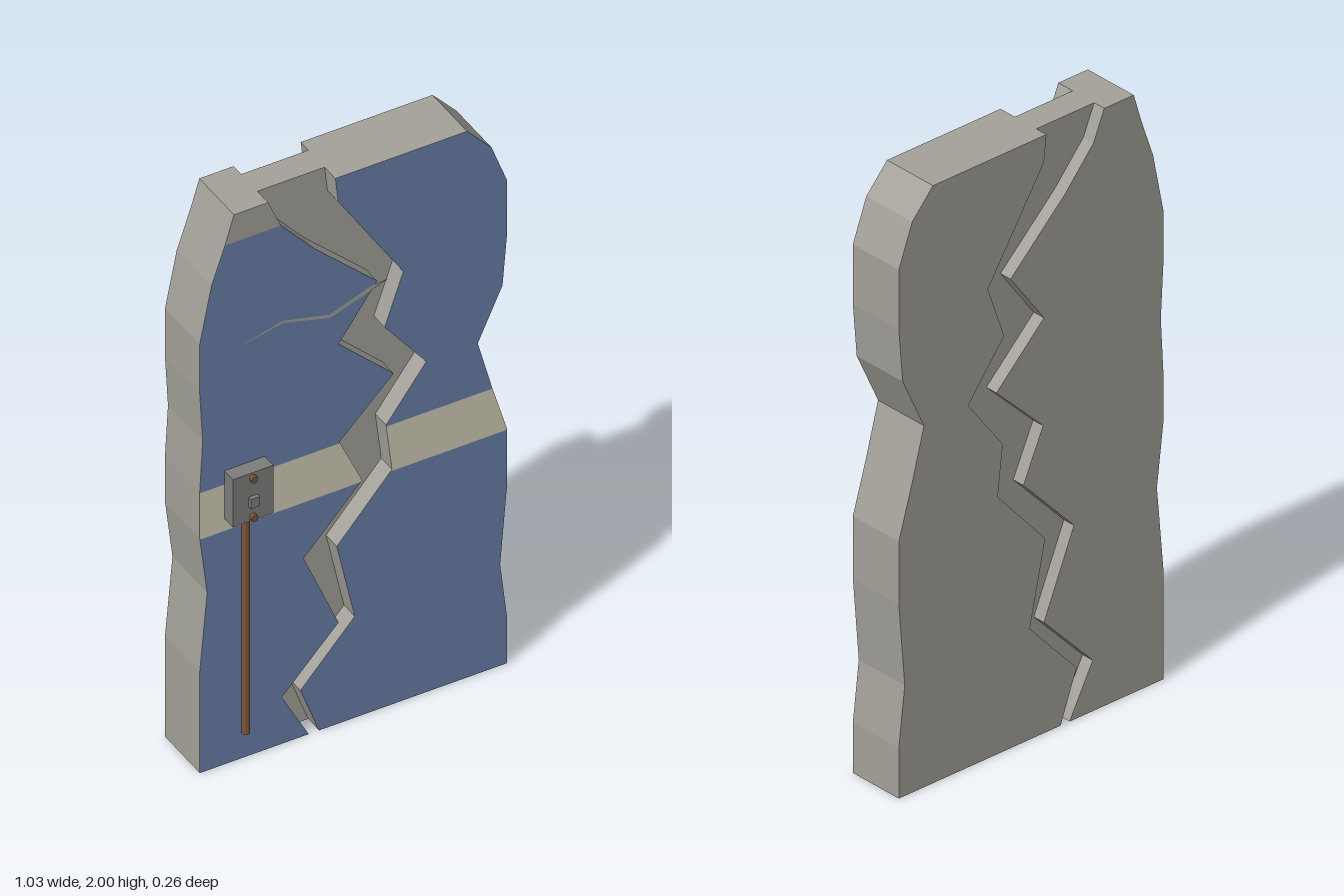
import * as THREE from 'three';

const material = (name, color, extra = {}) => {
  const m = new THREE.MeshStandardMaterial({ color, ...extra });
  m.name = name;
  return m;
};

// Edges as [x, y], listed from the bottom up
const LEFT = [[-0.515, 0], [-0.515, 0.37], [-0.49, 0.65], [-0.515, 0.86], [-0.515, 1.03], [-0.505, 1.21],
  [-0.515, 1.39], [-0.515, 1.57], [-0.475, 1.77], [-0.43, 1.9], [-0.4, 2]];
const RIGHT = [[0.515, 0], [0.515, 0.17], [0.492, 0.37], [0.515, 0.65], [0.515, 0.86], [0.465, 1.03],
  [0.417, 1.21], [0.5, 1.39], [0.515, 1.57], [0.515, 1.77], [0.463, 1.91], [0.382, 2]];
const CRACK_LEFT = [[-0.15, 0], [-0.24, 0.17], [-0.05, 0.37], [-0.167, 0.65], [0.03, 0.86], [-0.047, 1.03],
  [0.135, 1.21], [-0.05, 1.39], [0.08, 1.57], [-0.13, 1.77], [-0.243, 1.9], [-0.285, 2]];
const CRACK_RIGHT = [[-0.115, 0], [-0.177, 0.17], [0.005, 0.37], [-0.055, 0.65], [0.13, 0.86], [0.11, 1.03],
  [0.245, 1.21], [0.105, 1.39], [0.168, 1.57], [0.04, 1.77], [-0.05, 1.91], [-0.06, 2]];

const BACK = -0.133, BACK_FLOOR = -0.089, FRONT_FLOOR = 0.004, FRONT = 0.066;

// x of an edge at height y
function edgeX(edge, y) {
  const i = Math.max(1, edge.findIndex((p) => p[1] >= y));
  const [a, b] = [edge[i - 1], edge[i]];
  return a[0] + (b[0] - a[0]) * (y - a[1]) / (b[1] - a[1]);
}

// The part of an edge between two heights
function clip(edge, y0, y1) {
  return [[edgeX(edge, y0), y0], ...edge.filter((p) => p[1] > y0 && p[1] < y1), [edgeX(edge, y1), y1]];
}

const toShape = (points) => new THREE.Shape(points.map((p) => new THREE.Vector2(...p)));
const between = (a, b, y0 = 0, y1 = 2) => toShape([...clip(b, y0, y1), ...clip(a, y0, y1).reverse()]);

export function createModel() {
  const model = new THREE.Group();
  const stone = material('stone', 0xa3a199);
  const blue = material('blue paint', 0x687ea6);
  const cream = material('cream paint', 0xd0ccb6);
  const metal = material('metal', 0x7c7c7a);
  const rust = material('rusty brown', 0x7d5638);
  const crackStone = material('crack grey', 0xa3a199, { side: THREE.DoubleSide });

  const add = (name, geometry, mat, x = 0, y = 0, z = 0) => {
    const mesh = new THREE.Mesh(geometry, mat);
    mesh.name = name;
    mesh.position.set(x, y, z);
    model.add(mesh);
    return mesh;
  };
  const slab = (name, shape, z0, z1) =>
    add(name, new THREE.ExtrudeGeometry(shape, { depth: z1 - z0, bevelEnabled: false }), stone, 0, 0, z0);

  // Solid core, with split layers forming a jagged groove on both faces
  slab('wallCore', between(LEFT, RIGHT), BACK_FLOOR, FRONT_FLOOR);
  const halves = [['right', LEFT, CRACK_LEFT, 1.9], ['left', CRACK_RIGHT, RIGHT, 2]];
  for (const [side, a, b, paintTop] of halves) {
    slab(side + 'FrontLayer', between(a, b), FRONT_FLOOR, FRONT);
    slab(side + 'BackLayer', between(a, b), BACK, BACK_FLOOR);

    // Painted front: blue, cream band, blue
    const paint = (name, mat, y0, y1) =>
      add(side + name, new THREE.ShapeGeometry(between(a, b, y0, y1)), mat, 0, 0, FRONT + 0.001);
    paint('LowerPaint', blue, 0, 0.855);
    paint('BandPaint', cream, 0.855, 1.025);
    paint('UpperPaint', blue, 1.025, paintTop);
  }

  // Hairline side crack
  add('hairlineCrack', new THREE.ShapeGeometry(toShape([
    [-0.4, 1.508], [-0.235, 1.541], [-0.08, 1.498], [0.05, 1.542], [0.115, 1.566],
    [0.06, 1.562], [-0.08, 1.51], [-0.235, 1.549],
  ])), crackStone, 0, 0, FRONT + 0.002);

  // Switch box with bolts, a button and a conduit below
  add('switchBox', new THREE.BoxGeometry(0.136, 0.175, 0.05), metal, -0.365, 0.988, 0.091);
  add('button', new THREE.BoxGeometry(0.03, 0.034, 0.016), metal, -0.366, 0.974, 0.122);
  for (const y of [0.915, 1.056]) {
    add('bolt', new THREE.CylinderGeometry(0.012, 0.012, 0.016, 8), rust, -0.366, y, 0.12).rotation.x = Math.PI / 2;
  }
  add('conduit', new THREE.CylinderGeometry(0.0125, 0.0125, 0.8, 8), rust, -0.369, 0.5, 0.08);
  return model;
}
